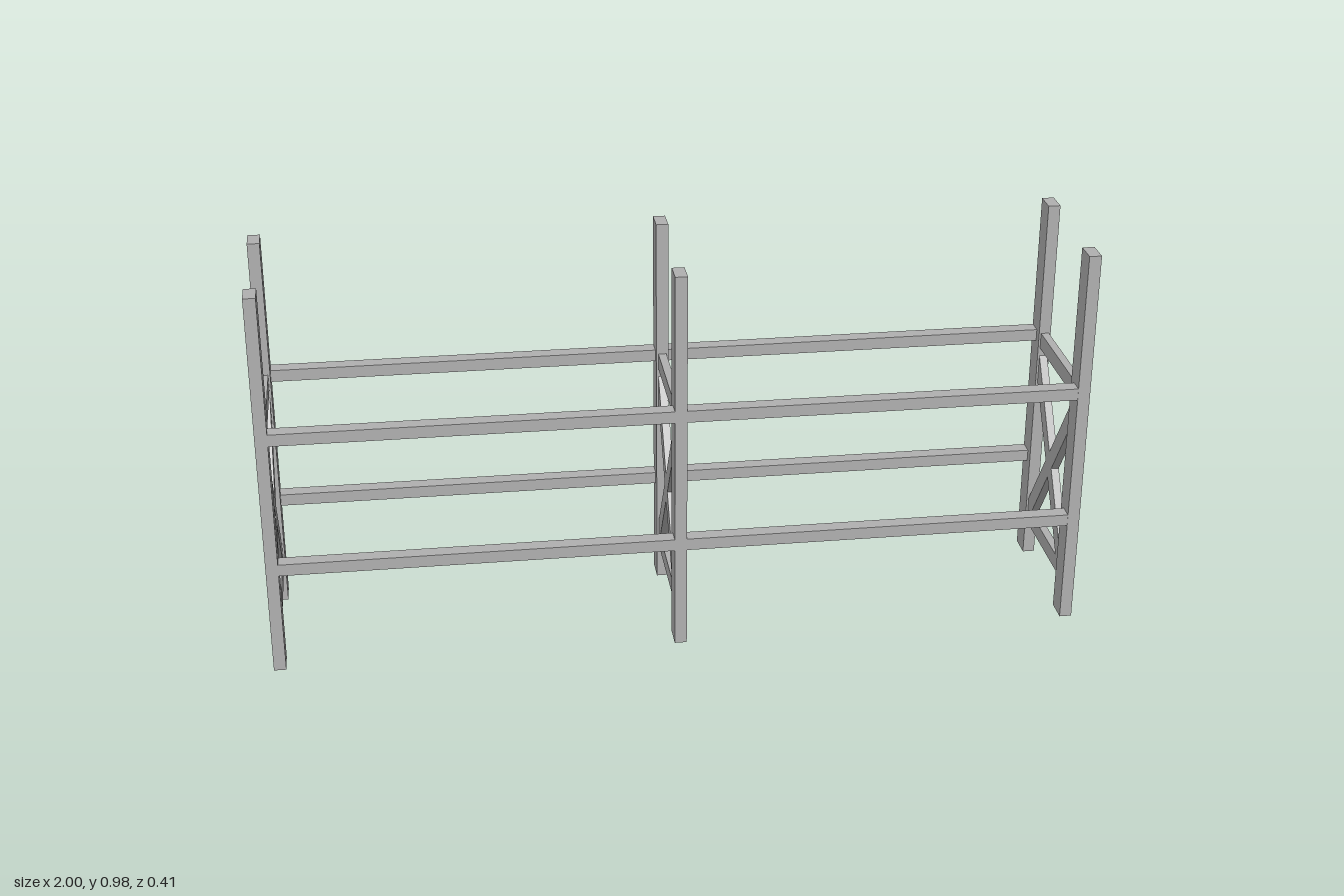
import * as THREE from 'three';

const POST = { w: 0.03, h: 0.977, d: 0.06, z: 0.173 };
const GAP = 0.143; // half distance between the posts of one frame
const THIN = 0.02; // thickness of rails and braces

// Outline of a crossed pair of braces with ends cut flush to the posts
function crossShape() {
  const w = GAP, slope = 1.43, h = 0.036, top = slope * w;
  const s = new THREE.Shape();
  [[w, top - h], [w, top + h], [0, h], [-w, top + h], [-w, top - h], [-h / slope, 0],
    [-w, h - top], [-w, -h - top], [0, -h], [w, -h - top], [w, h - top], [h / slope, 0]]
    .forEach(([a, b], i) => (i ? s.lineTo(a, b) : s.moveTo(a, b)));
  s.closePath();
  return s;
}

export function createModel() {
  const model = new THREE.Group();
  model.name = 'rackFrame';
  const steel = new THREE.MeshStandardMaterial({ color: 0xb2b2b2 });
  steel.name = 'grey steel';

  const box = (parent, name, [w, h, d], [x, y, z]) => {
    const mesh = new THREE.Mesh(new THREE.BoxGeometry(w, h, d), steel);
    mesh.name = name;
    mesh.position.set(x, y, z);
    parent.add(mesh);
  };

  // Three upright frames: two posts, two rails and crossed braces
  const crossGeometry = new THREE.ExtrudeGeometry(crossShape(), { depth: THIN, bevelEnabled: false });
  crossGeometry.translate(0, 0, -THIN / 2).rotateY(Math.PI / 2);
  for (const [x, label] of [[-0.985, 'right'], [0, 'middle'], [0.985, 'left']]) {
    const frame = new THREE.Group();
    frame.name = `${label}Frame`;
    frame.position.x = x;
    for (const side of [1, -1]) {
      box(frame, side > 0 ? 'frontPost' : 'backPost', [POST.w, POST.h, POST.d], [0, POST.h / 2, side * POST.z]);
    }
    box(frame, 'lowerRail', [THIN, 0.041, GAP * 2], [0, 0.11, 0]);
    box(frame, 'upperRail', [THIN, 0.041, GAP * 2], [0, 0.612, 0]);
    const cross = new THREE.Mesh(crossGeometry, steel);
    cross.name = 'crossBrace';
    cross.position.y = 0.33;
    frame.add(cross);
    model.add(frame);
  }

  // Long shelf beams spanning each bay, flush with the outer post faces
  for (const x of [-0.4925, 0.4925]) {
    for (const y of [0.275, 0.619]) {
      for (const side of [1, -1]) {
        box(model, side > 0 ? 'frontBeam' : 'backBeam', [0.955, 0.03, 0.037], [x, y, side * 0.184]);
      }
    }
  }
  return model;
}
